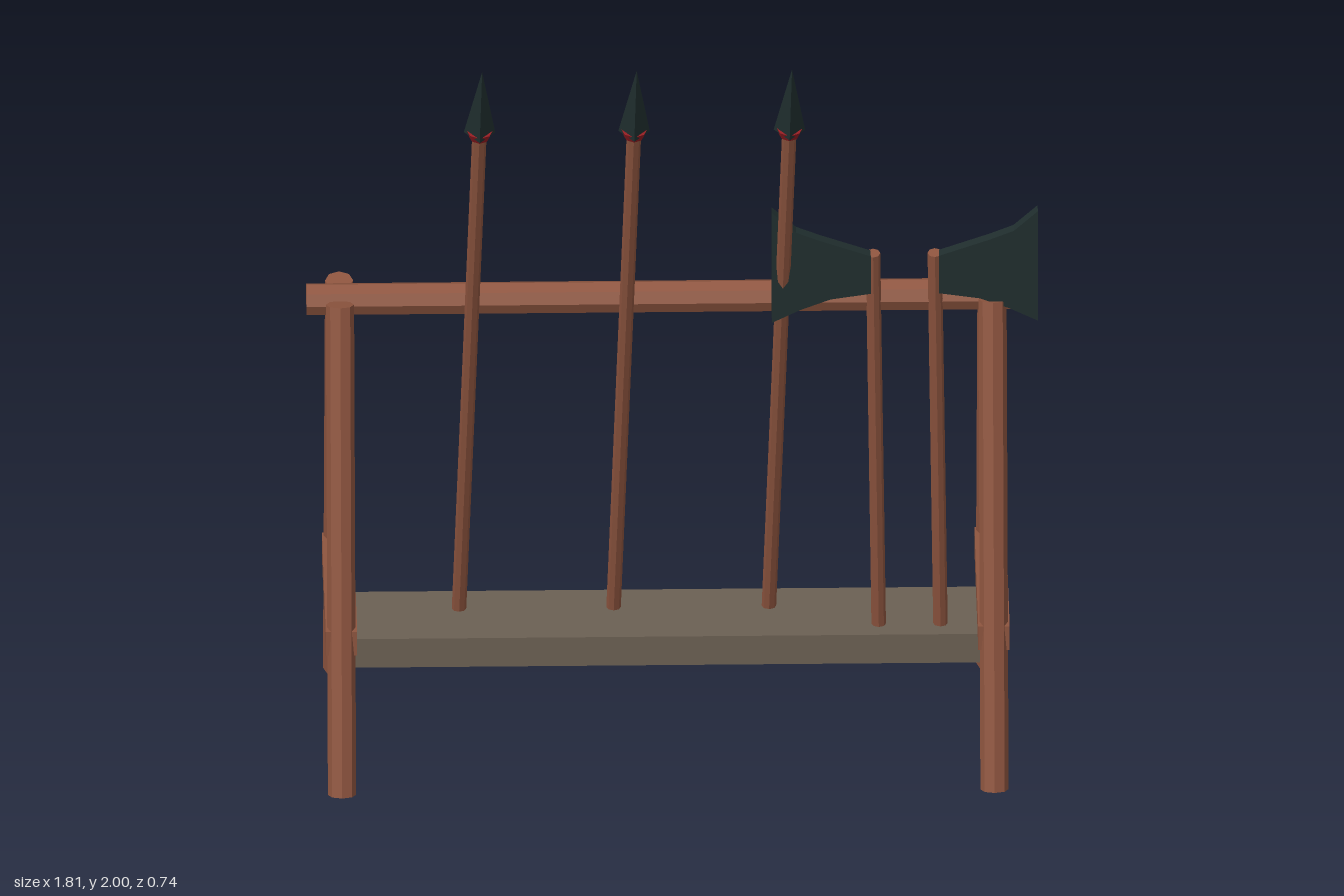
import * as THREE from 'three';

const mat = (name, color) => {
  const m = new THREE.MeshStandardMaterial({ color, flatShading: true });
  m.name = name;
  return m;
};

export function createModel() {
  const wood = mat('reddish wood', 0x8e553f);
  const board = mat('grey brown board', 0x6b6053);
  const metal = mat('dark metal', 0x202e2e);
  const red = mat('red binding', 0x941c22);

  const group = new THREE.Group();
  group.name = 'weaponRack';
  const add = (name, geo, material, x = 0, y = 0, z = 0) => {
    const mesh = new THREE.Mesh(geo, material);
    mesh.name = name;
    mesh.position.set(x, y, z);
    group.add(mesh);
    return mesh;
  };

  // Eight-sided (or other) round part stretched between two points
  const up = new THREE.Vector3(0, 1, 0);
  const rod = (name, a, b, rBottom, rTop, material, sides = 8) => {
    const dir = b.clone().sub(a);
    const mesh = add(name, new THREE.CylinderGeometry(rTop, rBottom, dir.length(), sides), material);
    mesh.position.copy(a).add(b).multiplyScalar(0.5);
    mesh.quaternion.setFromUnitVectors(up, dir.normalize());
    return mesh;
  };
  const v = (x, y, z) => new THREE.Vector3(x, y, z);

  // Top beam and lower shelf
  rod('topBeam', v(-0.907, 1.22, 0), v(0.875, 1.22, 0), 0.041, 0.041, wood);
  add('shelf', new THREE.BoxGeometry(1.615, 0.08, 0.25), board, -0.008, 0.18, -0.21);

  // A-frame at each end
  for (const x of [-0.825, 0.792]) {
    for (const s of [1, -1]) {
      rod(s > 0 ? 'frontLeg' : 'backLeg', v(x, 0.008, s * 0.337), v(x, 1.238, s * 0.064), 0.035, 0.035, wood);
    }
    add('crossBrace', new THREE.BoxGeometry(0.078, 0.066, 0.525), wood, x, 0.395, 0.005);
  }

  // Three leaning spears
  for (const x of [-0.525, -0.142, 0.243]) {
    const foot = v(x, 0.2, -0.25);
    const neck = v(x + 0.043, 1.8, 0.217);
    const along = neck.clone().sub(foot).normalize();
    const at = (d) => neck.clone().addScaledVector(along, d);
    rod('spearShaft', foot, at(0.02), 0.018, 0.018, wood);
    rod('spearBinding', at(-0.015), at(0.01), 0.026, 0.034, red);
    rod('spearHead', at(0), at(0.208), 0.039, 0, metal, 4);
  }

  // Two axes with their blades facing away from each other
  const outline = [
    [0.49, 1.372], [0.365, 1.416], [0.305, 1.44], [0.245, 1.495],
    [0.245, 1.188], [0.315, 1.223], [0.39, 1.252], [0.49, 1.267],
  ];
  const mirrorX = 0.5745;
  for (const s of [1, -1]) {
    const foot = s > 0 ? 0.514 : 0.667;
    rod('axeHandle', v(foot, 0.2, -0.148), v(foot - 0.018, 1.37, 0.064), 0.018, 0.018, wood);
    const pts = outline.map(([x, y]) => new THREE.Vector2(mirrorX + s * (x - mirrorX), y));
    const blade = new THREE.ExtrudeGeometry(new THREE.Shape(pts), { depth: 0.032, bevelEnabled: false });
    add('axeBlade', blade, metal, 0, 0, 0.053);
  }
  return group;
}
